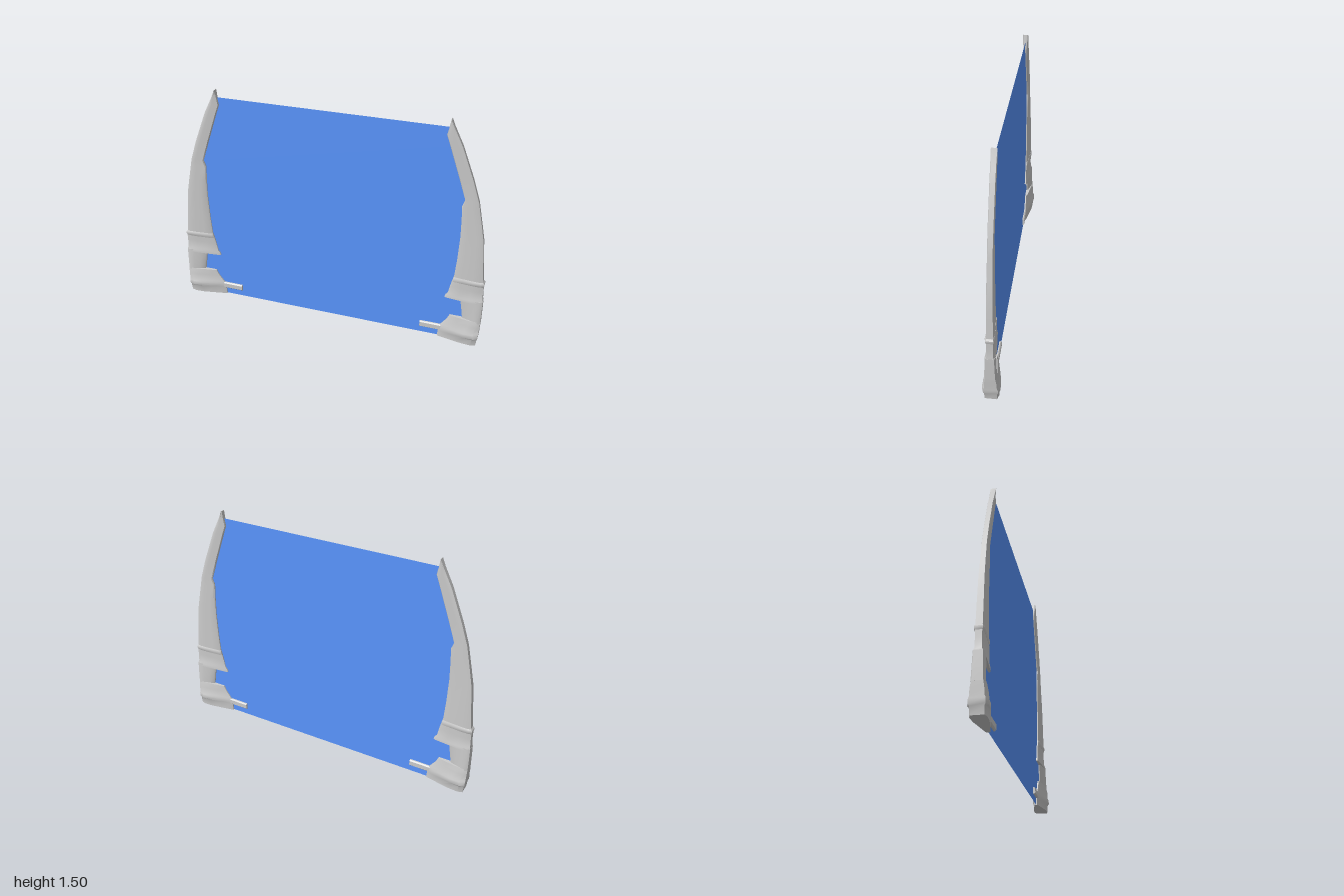
import * as THREE from 'three';
import { toCreasedNormals } from 'three/addons/utils/BufferGeometryUtils.js';

const grey = new THREE.MeshStandardMaterial({ color: 0xcccccc });
const blue = new THREE.MeshStandardMaterial({ color: 0x5a96ff, side: THREE.DoubleSide });

// Wedge-shaped outline at one height: thin towards the opening, thick outside.
// Section = [y, innerX, outerX, innerHalfDepth, outerHalfDepth]
function outline([y, xi, xo, di, d]) {
  const w = xo - xi;
  const half = [
    [xi, di * 0.55],
    [xi + w * 0.06, di],
    [xi + w * 0.32, di + (d - di) * 0.4],
    [xi + w * 0.65, di + (d - di) * 0.9],
    [xi + w * 0.88, d],
    [xo, d * 0.8],
  ];
  const back = half.map(([x, z]) => [x, -z]).reverse();
  return [...half, ...back].map(([x, z]) => [x, y, z]);
}

// Skin a stack of sections, bottom to top, and close both ends
function loft(name, sections, crease = 0.6) {
  const rings = sections.map(outline);
  const n = rings[0].length;
  const index = [];
  for (let r = 0; r < rings.length - 1; r++) {
    for (let i = 0; i < n; i++) {
      const a = r * n + i, b = r * n + (i + 1) % n;
      index.push(a, b, b + n, a, b + n, a + n);
    }
  }
  const top = (rings.length - 1) * n;
  for (let i = 1; i < n - 1; i++) {
    index.push(0, i + 1, i);
    index.push(top, top + i, top + i + 1);
  }
  const geo = new THREE.BufferGeometry();
  geo.setAttribute('position', new THREE.Float32BufferAttribute(rings.flat(2), 3));
  geo.setIndex(index);
  const mesh = new THREE.Mesh(toCreasedNormals(geo, crease), grey);
  mesh.name = name;
  return mesh;
}

function createPillar() {
  const pillar = new THREE.Group();

  // Heavy foot with a swollen band
  pillar.add(loft('foot', [
    [0, 0.735, 0.985, 0.014, 0.044],
    [0.045, 0.738, 0.99, 0.014, 0.046],
    [0.055, 0.738, 0.994, 0.015, 0.053],
    [0.082, 0.742, 0.995, 0.015, 0.053],
    [0.095, 0.752, 0.995, 0.014, 0.046],
    [0.14, 0.785, 0.997, 0.014, 0.043],
    [0.18, 0.803, 0.998, 0.014, 0.035],
  ]));

  // Neck between foot and blade
  pillar.add(loft('neck', [
    [0.17, 0.883, 0.998, 0.014, 0.036],
    [0.24, 0.872, 0.998, 0.014, 0.033],
    [0.33, 0.857, 0.997, 0.014, 0.03],
  ]));

  // Flared ledge that sweeps up into the collar
  pillar.add(loft('ledge', [
    [0.312, 0.76, 0.996, 0.014, 0.03],
    [0.33, 0.765, 0.996, 0.014, 0.029],
    [0.345, 0.778, 0.993, 0.013, 0.023],
    [0.4, 0.788, 0.991, 0.012, 0.022],
    [0.445, 0.798, 0.991, 0.013, 0.023],
  ]));

  // Collar ring
  pillar.add(loft('collar', [
    [0.438, 0.798, 0.99, 0.014, 0.023],
    [0.45, 0.8, 0.994, 0.017, 0.028],
    [0.462, 0.802, 0.994, 0.017, 0.028],
    [0.472, 0.806, 0.986, 0.014, 0.023],
  ]));

  // Long curved blade leaning inwards
  pillar.add(loft('blade', [
    [0.465, 0.806, 0.985, 0.012, 0.023],
    [0.6, 0.815, 0.972, 0.012, 0.022],
    [0.76, 0.82, 0.957, 0.012, 0.02],
    [0.87, 0.817, 0.935, 0.012, 0.018],
    [0.97, 0.812, 0.914, 0.012, 0.017],
    [1.01, 0.826, 0.906, 0.012, 0.017],
    [1.14, 0.782, 0.863, 0.012, 0.017],
    [1.34, 0.712, 0.785, 0.012, 0.017],
    [1.4, 0.69, 0.755, 0.012, 0.017],
    [1.45, 0.7, 0.73, 0.012, 0.017],
    [1.495, 0.707, 0.71, 0.012, 0.017],
  ]));

  // Bar pointing into the opening, bevelled along its length
  const barShape = new THREE.Shape([
    [-0.014, -0.015], [-0.007, -0.022], [0.007, -0.022], [0.014, -0.015],
    [0.014, 0.015], [0.007, 0.022], [-0.007, 0.022], [-0.014, 0.015],
  ].map(([x, y]) => new THREE.Vector2(x, y)));
  const barGeo = new THREE.ExtrudeGeometry(barShape, { depth: 0.25, bevelEnabled: false });
  const bar = new THREE.Mesh(barGeo, grey);
  bar.name = 'bar';
  bar.rotation.y = Math.PI / 2;
  bar.position.set(0.618, 0.068, 0);
  pillar.add(bar);
  return pillar;
}

export function createModel() {
  const model = new THREE.Group();
  model.name = 'energyGate';

  // Pillars are symmetric front to back, so a half turn mirrors them
  const left = createPillar();
  left.name = 'leftPillar';
  const right = createPillar();
  right.name = 'rightPillar';
  right.rotation.y = Math.PI;
  model.add(left, right);

  // Thin field filling the opening, its sides hidden in the pillars
  const side = [[0.76, 0], [0.8, 0.06], [0.94, 0.16], [0.94, 0.35], [0.9, 0.6], [0.865, 1.0], [0.75, 1.34], [0.71, 1.447]];
  const edge = side.map(([x, y]) => new THREE.Vector2(x, y));
  const mirrored = side.map(([x, y]) => new THREE.Vector2(-x, y)).reverse();
  const field = new THREE.Mesh(new THREE.ShapeGeometry(new THREE.Shape([...edge, ...mirrored])), blue);
  field.name = 'field';
  model.add(field);
  return model;
}
